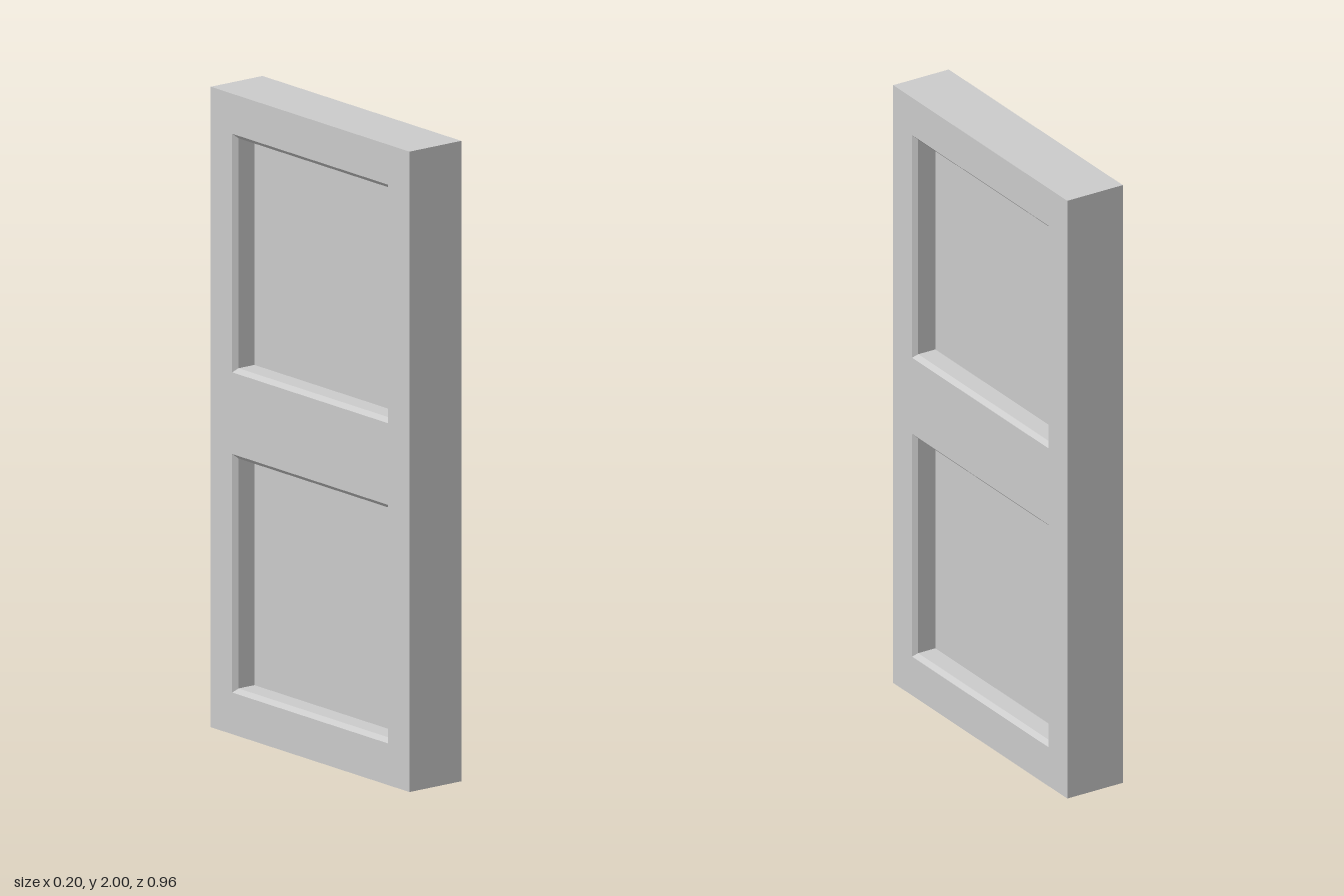
import * as THREE from 'three';

const HALF_T = 0.1, BEVEL = 0.0135, PANEL_X = 0.025;
const material = new THREE.MeshStandardMaterial({ color: 0xcccccc, flatShading: true });

// Rectangle corners, counter-clockwise, optionally inset
const rect = (w, y0, y1, inset = 0) => [
  [-w + inset, y0 + inset], [w - inset, y0 + inset],
  [w - inset, y1 - inset], [-w + inset, y1 - inset],
];

// Band of four quads joining rectangle a at depth za to rectangle b at depth zb
function band(a, za, b, zb) {
  const pos = [];
  for (let i = 0; i < 4; i++) {
    const j = (i + 1) % 4;
    const [p, q, r, s] = [[...a[i], za], [...a[j], za], [...b[j], zb], [...b[i], zb]];
    pos.push(...p, ...q, ...r, ...p, ...r, ...s);
  }
  const g = new THREE.BufferGeometry();
  g.setAttribute('position', new THREE.Float32BufferAttribute(pos, 3));
  g.computeVertexNormals();
  return g;
}

const toPoints = (r) => r.map(([x, y]) => new THREE.Vector2(x, y));

function add(parent, name, geometry, z = 0) {
  const mesh = new THREE.Mesh(geometry, material);
  mesh.name = name;
  mesh.position.z = z;
  parent.add(mesh);
}

const outer = rect(0.48, 0, 2);
const openings = [{ name: 'lower', y0: 0.13, y1: 0.875 }, { name: 'upper', y0: 1.13, y1: 1.875 }];

// One broad face with its two chamfered, recessed panels
function createSide() {
  const side = new THREE.Group();
  const face = new THREE.Shape(toPoints(outer));
  for (const { name, y0, y1 } of openings) {
    const open = rect(0.376, y0, y1);
    const inner = rect(0.376, y0, y1, BEVEL);
    face.holes.push(new THREE.Path(toPoints(open).reverse()));
    add(side, name + 'Chamfer', band(open, HALF_T, inner, HALF_T - BEVEL));
    add(side, name + 'Reveal', band(inner, HALF_T - BEVEL, inner, PANEL_X));
    add(side, name + 'Panel', new THREE.ShapeGeometry(new THREE.Shape(toPoints(inner))), PANEL_X);
  }
  add(side, 'frameFace', new THREE.ShapeGeometry(face), HALF_T);
  return side;
}

export function createModel() {
  const door = new THREE.Group();
  door.name = 'door';
  // Both broad faces look along the x axis
  for (const [name, sign] of [['leftSide', 1], ['rightSide', -1]]) {
    const side = createSide();
    side.name = name;
    side.rotation.y = sign * Math.PI / 2;
    door.add(side);
  }
  // Narrow outer edges
  add(door, 'edge', band(outer, -HALF_T, outer, HALF_T).rotateY(Math.PI / 2));
  return door;
}
